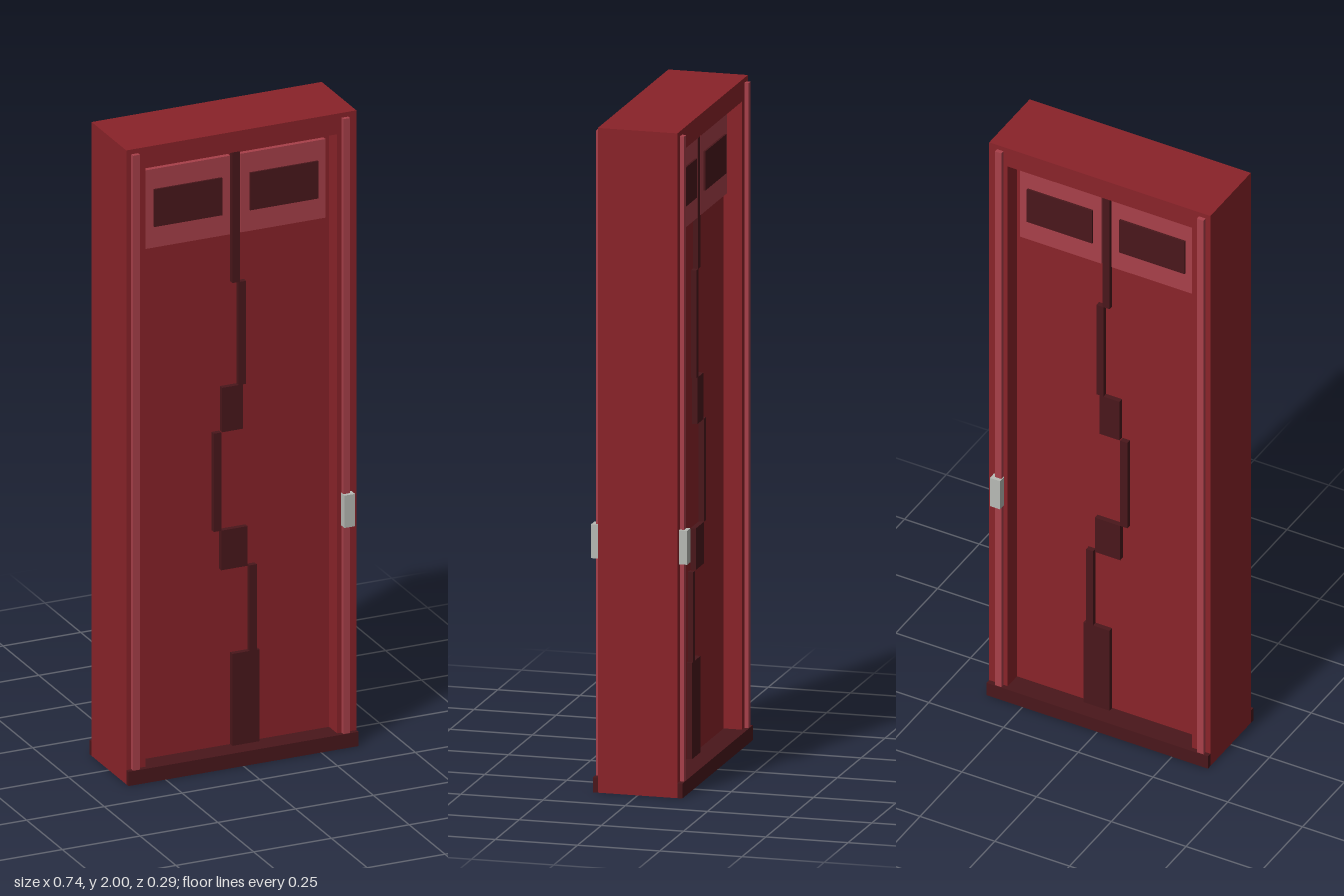
import * as THREE from 'three';

const mat = (color) => new THREE.MeshStandardMaterial({ color, flatShading: true });

export function createModel() {
  const red = mat(0x8a2329), light = mat(0xa8404a), dark = mat(0x4a171b), grey = mat(0xb8bab5);
  const group = new THREE.Group();
  group.name = 'slidingDoor';

  // box given by its min and max on each axis
  const box = (name, material, [x0, x1], [y0, y1], [z0, z1], parent = group) => {
    const mesh = new THREE.Mesh(new THREE.BoxGeometry(x1 - x0, y1 - y0, z1 - z0), material);
    mesh.position.set((x0 + x1) / 2, (y0 + y1) / 2, (z0 + z1) / 2);
    mesh.name = name;
    parent.add(mesh);
  };

  const W = 0.37, D = 0.121, IN = 0.308, DOOR = 0.065;

  // door frame: two posts and a lintel in one arch
  const arch = new THREE.Shape([
    [-W, 0], [-IN, 0], [-IN, 1.935], [IN, 1.935], [IN, 0], [W, 0], [W, 2], [-W, 2],
  ].map(([x, y]) => new THREE.Vector2(x, y)));
  const frameGeo = new THREE.ExtrudeGeometry(arch, { depth: 2 * D, bevelEnabled: false });
  frameGeo.translate(0, 0, -D);
  const frame = new THREE.Mesh(frameGeo, red);
  frame.name = 'frame';
  group.add(frame);

  // floor between the posts, and the door leaves
  box('floor', dark, [-IN, IN], [0, 0.045], [-D, D]);
  box('doorLeaves', red, [-IN, IN], [0.045, 1.935], [-DOOR, DOOR]);

  // stepped seam between the leaves: x range, y range
  const seam = [
    [[-0.01, 0.014], [1.505, 1.935]],
    [[0.01, 0.034], [1.18, 1.505]],
    [[-0.043, 0.023], [1.04, 1.18]],
    [[-0.07, -0.046], [0.73, 1.04]],
    [[-0.046, 0.039], [0.605, 0.73]],
    [[0.045, 0.068], [0.335, 0.605]],
    [[-0.01, 0.077], [0.045, 0.335]],
  ];

  // details repeated on the front and the back
  for (const s of [1, -1]) {
    const side = new THREE.Group();
    side.name = s > 0 ? 'frontDetails' : 'backDetails';
    group.add(side);
    const add = (name, material, x, y, a, b) =>
      box(name, material, x, y, s > 0 ? [a, b] : [-b, -a], side);

    seam.forEach(([x, y]) => add('seamStep', dark, x, y, DOOR, 0.081));
    for (const m of [1, -1]) {
      const span = (a, b) => (m > 0 ? [a, b] : [-b, -a]);
      add('windowPanel', light, span(0.017, 0.29), [1.66, 1.908], DOOR, 0.08);
      add('window', dark, span(0.045, 0.264), [1.727, 1.845], 0.08, 0.086);
    }
    add('threshold', dark, [-W, W], [0, 0.045], D, 0.136);
    add('rightTrim', light, [-0.354, -0.332], [0.045, 1.985], D, 0.134);
    add('leftTrim', light, [0.322, 0.344], [0.045, 1.985], D, 0.134);
    add('controlPad', grey, [0.32, 0.354], [0.7, 0.802], D, 0.146);
  }
  return group;
}
